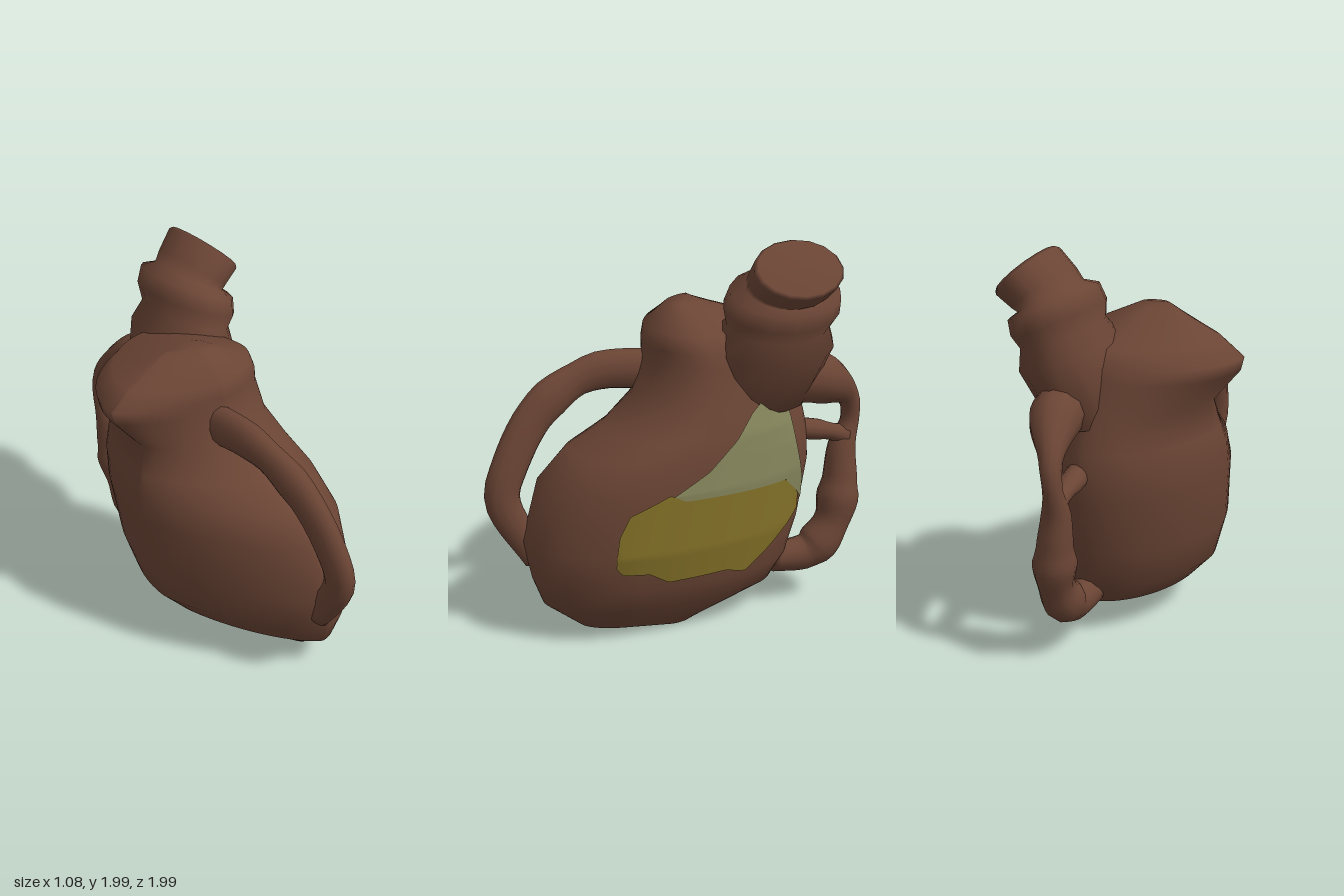
import * as THREE from 'three';

const V = (x, y, z) => new THREE.Vector3(x, y, z);
const { lerp, degToRad } = THREE.MathUtils;

// Skin a list of equal-length closed rings, capped at both ends
function loft(rings) {
  const n = rings[0].length, pos = [], idx = [];
  rings.forEach(r => r.forEach(p => pos.push(p.x, p.y, p.z)));
  for (let i = 0; i < rings.length - 1; i++) {
    for (let j = 0; j < n; j++) {
      const a = i * n + j, b = i * n + (j + 1) % n;
      idx.push(a, a + n, b, b, a + n, b + n);
    }
  }
  [0, rings.length - 1].forEach(i => {
    const c = V(0, 0, 0), k = pos.length / 3;
    rings[i].forEach(p => c.addScaledVector(p, 1 / n));
    pos.push(c.x, c.y, c.z);
    for (let j = 0; j < n; j++) {
      const a = i * n + j, b = i * n + (j + 1) % n;
      if (i === 0) idx.push(k, a, b); else idx.push(k, b, a);
    }
  });
  const g = new THREE.BufferGeometry();
  g.setAttribute('position', new THREE.Float32BufferAttribute(pos, 3));
  g.setIndex(idx);
  g.computeVertexNormals();
  return g;
}

// Ellipse around c, square to direction t; ra lies towards x
function ring(c, t, ra, rb, n) {
  const a = V(1, 0, 0).addScaledVector(t, -t.x).normalize();
  const b = a.clone().cross(t);
  return Array.from({ length: n }, (_, j) => {
    const w = j / n * Math.PI * 2;
    return c.clone().addScaledVector(a, ra * Math.cos(w)).addScaledVector(b, rb * Math.sin(w));
  });
}

// Tube through stations [x, y, z, radius]; flat narrows it across x
function vessel(stations, flat, steps) {
  const path = new THREE.CatmullRomCurve3(stations.map(s => V(s[0], s[1], s[2])));
  const size = new THREE.CatmullRomCurve3(stations.map(s => V(s[3], 0, 0)));
  return loft(Array.from({ length: steps + 1 }, (_, i) => {
    const t = path.getUtoTmapping(i / steps), r = size.getPoint(t).x;
    return ring(path.getPoint(t), path.getTangent(t), r * flat, r, 12);
  }));
}

// Body levels: y, left x, right x, front z, back z
const LEVELS = [
  [0, 0.1, 0.24, 0.15, -0.06],
  [0.04, 0.04, 0.3, 0.55, -0.17],
  [0.17, -0.21, 0.4, 0.73, -0.48],
  [0.3, -0.33, 0.46, 0.78, -0.57],
  [0.5, -0.39, 0.5, 0.82, -0.64],
  [0.8, -0.42, 0.5, 0.73, -0.7],
  [0.95, -0.42, 0.47, 0.58, -0.7],
  [1.05, -0.4, 0.44, 0.39, -0.68],
  [1.2, -0.37, 0.38, 0.22, -0.64],
  [1.38, -0.52, 0.34, 0.16, -0.58],
  [1.45, -0.54, 0.33, 0.16, -0.56],
  [1.53, -0.43, 0.29, 0.15, -0.5],
  [1.64, -0.18, 0.05, 0.03, -0.13]
];
const FULL = [1, 1.45, 1.1, 1.12]; // roundness of the four quarters

// Extreme points of the body outline at height y
function outline(y) {
  let i = 0;
  while (i < LEVELS.length - 2 && LEVELS[i + 1][0] < y) i++;
  const a = LEVELS[i], b = LEVELS[i + 1], f = (y - a[0]) / (b[0] - a[0]);
  const [, xL, xR, zF, zB] = a.map((v, k) => lerp(v, b[k], f));
  return { xL, xR, zF, zB, zL: 0.05 - 0.1 * y, zR: lerp(zB, zF, 0.65), xF: 0.18 - 0.14 * y, xB: 0.14 - 0.1 * y };
}

function bodyRing(y, n = 64) {
  const { xL, zL, xR, zR, xF, zF, xB, zB } = outline(y);
  const quarters = [[xF, zR, xR, zF], [xF, zL, xL, zF], [xB, zL, xL, zB], [xB, zR, xR, zB]];
  return Array.from({ length: n }, (_, j) => {
    const w = j / n * Math.PI * 2, q = Math.floor(j * 4 / n), [cx, cz, ex, ez] = quarters[q];
    const c = Math.abs(Math.cos(w)) ** FULL[q], s = Math.abs(Math.sin(w)) ** FULL[q];
    return V(cx + (ex - cx) * c, y, cz + (ez - cz) * s);
  });
}

// x of the body's +x side at a given height and depth
function sideX(y, z) {
  const { xR, zR, xF, zF, xB, zB } = outline(y);
  const front = z > zR, p = front ? FULL[0] : FULL[3], cx = front ? xF : xB;
  const s = Math.min(1, Math.abs((z - zR) / ((front ? zF : zB) - zR)));
  return cx + (xR - cx) * (1 - s ** (2 / p)) ** (p / 2);
}

// Piecewise-linear curve of [z, y] points with z falling
function along(pts, z) {
  let i = 0;
  while (i < pts.length - 2 && pts[i + 1][0] > z) i++;
  const [a, b] = [pts[i], pts[i + 1]];
  return lerp(a[1], b[1], (z - a[0]) / (b[0] - a[0]));
}

// Thin skin lying on the body between two curves
function patch(z0, z1, top, bottom) {
  const g = new THREE.PlaneGeometry(1, 1, 60, 24), p = g.attributes.position;
  for (let i = 0; i < p.count; i++) {
    const z = lerp(z0, z1, p.getX(i) + 0.5);
    const y = lerp(along(bottom, z), along(top, z), p.getY(i) + 0.5);
    p.setXYZ(i, sideX(y, z) + 0.009, y, z - 0.003);
  }
  g.computeVertexNormals();
  return g;
}

export function createModel() {
  const group = new THREE.Group();
  const mat = (name, color) => {
    const m = new THREE.MeshStandardMaterial({ color, side: THREE.DoubleSide });
    m.name = name;
    return m;
  };
  const brown = mat('brown', 0x6b4535), yellow = mat('ochre', 0x857228), green = mat('sage', 0x85855c);
  const add = (name, geo, m = brown) => {
    const mesh = new THREE.Mesh(geo, m);
    mesh.name = name;
    group.add(mesh);
  };

  // Body with the overhanging shoulder lobe
  add('body', loft(LEVELS.map(l => bodyRing(l[0]))));

  // Stepped spout leaning to +x: x, y, tilt in degrees, radius
  const spout = [
    [0.1, 1.15, 10, 0.21], [0.22, 1.47, 20, 0.24], [0.25, 1.57, 20, 0.2], [0.265, 1.65, 22, 0.225],
    [0.285, 1.73, 24, 0.215], [0.3, 1.755, 30, 0.16], [0.33, 1.79, 40, 0.165], [0.41, 1.865, 45, 0.172],
    [0.422, 1.877, 45, 0.16]
  ];
  add('spout', loft(spout.map(([x, y, tilt, r]) => {
    const t = degToRad(tilt);
    return ring(V(x, y, -0.22 - 0.155 * y), V(Math.sin(t), Math.cos(t), 0), r, r * 1.32, 16);
  })));

  // Front loop
  add('frontHandle', vessel([
    [-0.05, 1.29, 0.05, 0.11], [-0.05, 1.295, 0.42, 0.1], [-0.01, 1.14, 0.69, 0.1],
    [0.04, 0.87, 0.86, 0.095], [0.06, 0.7, 0.905, 0.09], [0.09, 0.38, 0.74, 0.07]
  ], 0.68, 28));

  // Back loop, thick at the shoulder and pinched at its top bend
  add('backHandle', vessel([
    [0.18, 1.27, -0.52, 0.14], [0.15, 1.23, -0.73, 0.135], [0.07, 1.1, -0.92, 0.06],
    [0.05, 0.97, -0.945, 0.05], [0.06, 0.82, -0.9, 0.075], [0.08, 0.62, -0.885, 0.095],
    [0.1, 0.42, -0.84, 0.095], [0.1, 0.27, -0.72, 0.095], [0.1, 0.25, -0.5, 0.08]
  ], 0.95, 44));
  add('backBridge', vessel([[0.07, 0.95, -0.6, 0.06], [0.06, 0.92, -0.78, 0.055], [0.06, 0.88, -0.92, 0.055]], 1.1, 8));

  // Two-tone panel on the side
  const seam = [[0.43, 0.5], [0.42, 0.6], [0.36, 0.72], [0.16, 0.81], [0.08, 0.77], [-0.5, 0.76], [-0.59, 0.66], [-0.63, 0.6]];
  const base = [[0.43, 0.45], [0.4, 0.41], [0.26, 0.4], [0.16, 0.34], [-0.15, 0.345], [-0.27, 0.31], [-0.4, 0.4], [-0.6, 0.56]];
  const crest = [[0.14, 0.8], [-0.05, 0.9], [-0.2, 1.03], [-0.3, 1.15], [-0.37, 1.2], [-0.46, 1.2], [-0.53, 1.12], [-0.63, 0.72]];
  add('lowerPanel', patch(0.43, -0.6, seam, base), yellow);
  add('upperPanel', patch(0.14, -0.63, crest, seam), green);

  return group;
}
